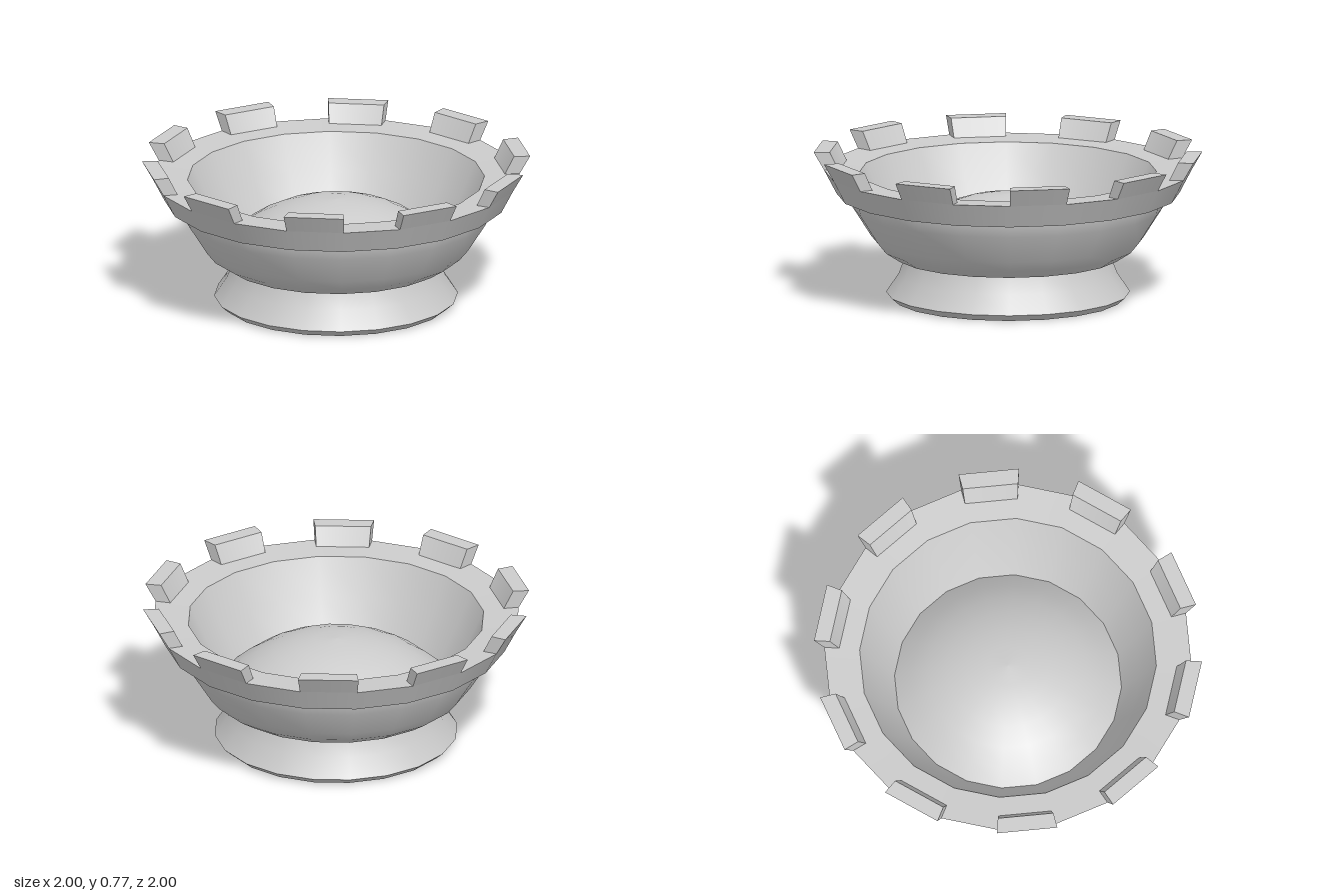
import * as THREE from 'three';
import { mergeGeometries } from 'three/addons/utils/BufferGeometryUtils.js';

const SIDES = 20;
const STEP = (Math.PI * 2) / SIDES;
const material = new THREE.MeshStandardMaterial({ color: 0xcccccc });
const capMaterial = new THREE.MeshStandardMaterial({ color: 0xcccccc, side: THREE.DoubleSide });

const vectors = (points) => points.map(([r, y]) => new THREE.Vector2(r, y));

// Each strip is smooth along its own profile; separate strips meet at a sharp edge.
function turned(name, strips) {
  const parts = strips.map((points) => new THREE.LatheGeometry(vectors(points), SIDES));
  const mesh = new THREE.Mesh(mergeGeometries(parts), material);
  mesh.name = name;
  return mesh;
}

// Spherical cap profile from its base circle up to the axis.
function capProfile(radius, base, height, count) {
  const R = (radius * radius + height * height) / (2 * height);
  const edge = Math.asin(radius / R);
  return Array.from({ length: count + 1 }, (_, i) => {
    const a = edge * (1 - i / count);
    return [R * Math.sin(a), base + height - R + R * Math.cos(a)];
  });
}

// One battlement block filling a single side of the rim.
function merlon(start) {
  const section = [[0.947, 0.675], [1.0, 0.767], [0.918, 0.767], [0.87, 0.672]];
  const faces = [0, 1, 2].map((i) =>
    new THREE.LatheGeometry(vectors([section[i], section[i + 1]]), 1, start, STEP));
  const ends = [start, start + STEP].map((phi) =>
    new THREE.ShapeGeometry(new THREE.Shape(vectors(section))).rotateY(phi - Math.PI / 2));
  const group = new THREE.Group();
  group.name = 'merlon';
  const body = new THREE.Mesh(mergeGeometries(faces), material);
  body.name = 'merlonFaces';
  const caps = new THREE.Mesh(mergeGeometries(ends), capMaterial);
  caps.name = 'merlonEnds';
  group.add(body, caps);
  return group;
}

export function createModel() {
  const model = new THREE.Group();
  model.name = 'crenellatedBowl';

  // Hollow flared foot, running up inside the bowl's lower edge
  model.add(turned('foot', [
    [[0.45, 0.285], [0.5, 0.135], [0.588, 0]],
    [[0.588, 0], [0.628, 0.035]],
    [[0.628, 0.035], [0.563, 0.132], [0.527, 0.225], [0.505, 0.3]],
  ]));

  // Hollow underside of the dome, seen up through the foot
  model.add(turned('domeUnderside', [capProfile(0.45, 0.285, 0.14, 5).reverse()]));

  // Rounded outer bowl with a recessed groove around the foot
  model.add(turned('bowl', [
    [[0.505, 0.3], [0.583, 0.225]],
    [[0.583, 0.225], [0.66, 0.275], [0.705, 0.33], [0.8, 0.48], [0.813, 0.552]],
  ]));

  // Overhanging flared rim with a top that dips slightly inward
  model.add(turned('rim', [
    [[0.813, 0.552], [0.883, 0.552]],
    [[0.883, 0.552], [0.947, 0.675]],
    [[0.947, 0.675], [0.765, 0.664]],
  ]));

  // Inside wall and the dome rising from it
  model.add(turned('innerWall', [
    [[0.765, 0.664], [0.68, 0.48], [0.585, 0.31]],
  ]));
  model.add(turned('dome', [capProfile(0.585, 0.31, 0.24, 6)]));

  // Battlements on every other side of the rim
  for (let i = 0; i < SIDES; i += 2) model.add(merlon((i - 1) * STEP));

  return model;
}
